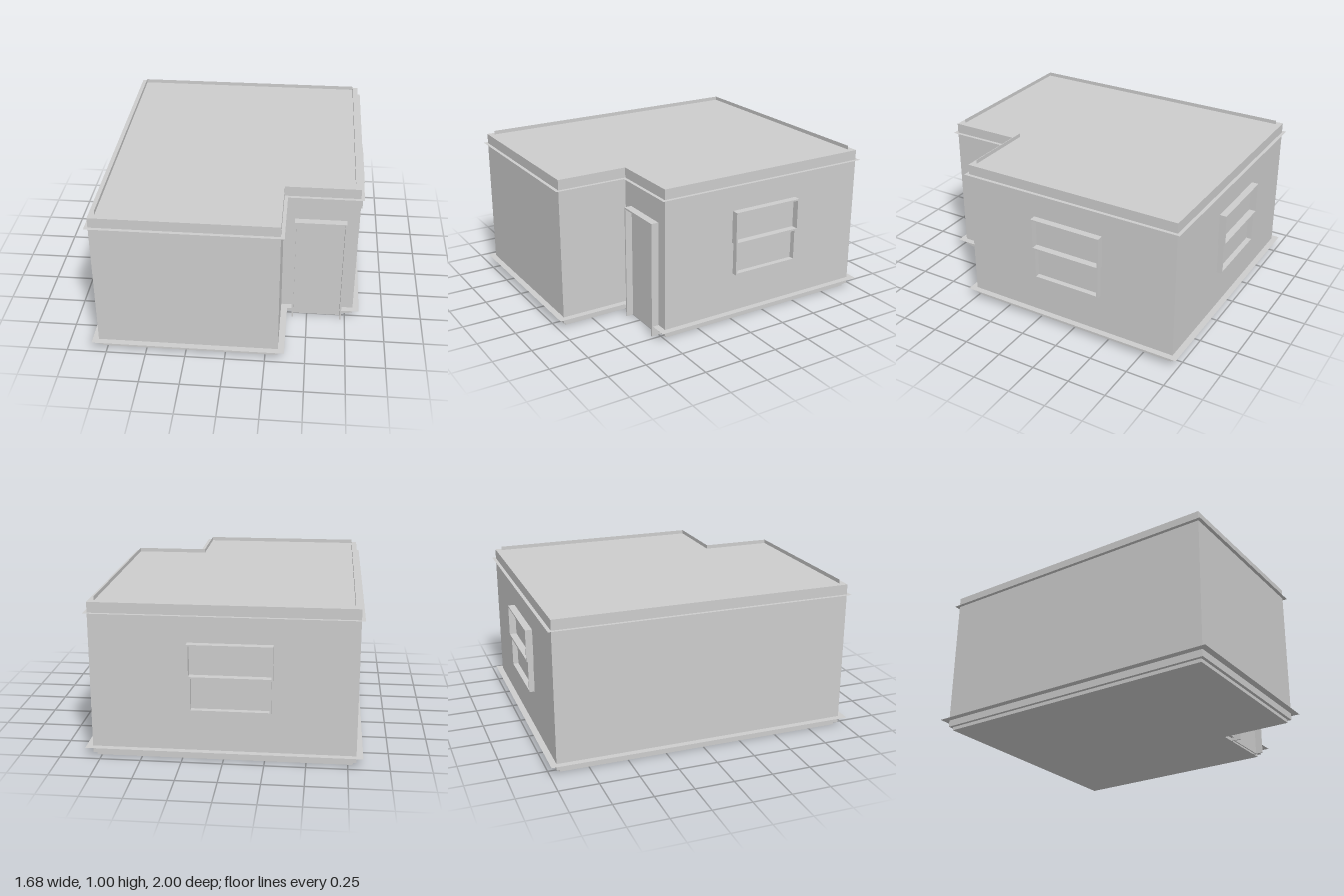
import * as THREE from 'three';

const plaster = new THREE.MeshStandardMaterial({ color: 0xcccccc });
plaster.name = 'pale grey plaster';
const plasterThin = plaster.clone();
plasterThin.name = 'pale grey thin trim';
plasterThin.side = THREE.DoubleSide;

// L-shaped floor plan as [x, z], offset outwards by d
const corners = (d) => [
  [0.8 + d, 0.5 + d], [0.8 + d, -0.955 - d], [-0.8 - d, -0.955 - d],
  [-0.8 - d, 0.955 + d], [0.33 + d, 0.955 + d], [0.33 + d, 0.5 + d],
];

const DOOR = { left: 0.725, right: 0.4, top: 0.745 };

function add(parent, name, geometry, material = plaster) {
  const mesh = new THREE.Mesh(geometry, material);
  mesh.name = name;
  parent.add(mesh);
  return mesh;
}

// Solid slab over the floor plan
function slab(d, y0, y1) {
  const shape = new THREE.Shape(corners(d).map(([x, z]) => new THREE.Vector2(x, -z)));
  const g = new THREE.ExtrudeGeometry(shape, { depth: y1 - y0, bevelEnabled: false });
  return g.rotateX(-Math.PI / 2).translate(0, y0, 0);
}

// Strip of flat quads between two paths of [x, z] at two heights
function band(a, ya, b, yb) {
  const pos = [];
  for (let i = 0; i < a.length - 1; i++) {
    const p = [a[i][0], ya, a[i][1]], q = [a[i + 1][0], ya, a[i + 1][1]];
    const r = [b[i + 1][0], yb, b[i + 1][1]], s = [b[i][0], yb, b[i][1]];
    pos.push(...p, ...q, ...r, ...p, ...r, ...s);
  }
  const g = new THREE.BufferGeometry();
  g.setAttribute('position', new THREE.Float32BufferAttribute(pos, 3));
  g.computeVertexNormals();
  return g;
}

const closed = (path) => [...path, path[0]];
// Path round the house that stops at both sides of the door
const doorGap = (d) => [[DOOR.left, 0.5 + d], ...corners(d), [DOOR.right, 0.5 + d]];

// Thin box between two corners
function bar(parent, name, x0, x1, y0, y1, z0, z1) {
  const g = new THREE.BoxGeometry(x1 - x0, y1 - y0, z1 - z0);
  add(parent, name, g.translate((x0 + x1) / 2, (y0 + y1) / 2, (z0 + z1) / 2));
}

// Two-sash window frame standing out of a wall along local +z
function makeWindow(name, width) {
  const g = new THREE.Group();
  g.name = name;
  const t = 0.01, w = width / 2;
  for (const s of [-1, 1]) {
    const x = s * (w - t / 2);
    bar(g, 'lowerJamb', x - t / 2, x + t / 2, 0.33, 0.54, 0, 0.035);
    const u = s * (w + t / 2);
    bar(g, 'upperJamb', u - t / 2, u + t / 2, 0.535, 0.74, 0, 0.045);
  }
  bar(g, 'sill', -w, w, 0.325, 0.335, 0, 0.035);
  bar(g, 'middleRail', -w, w, 0.535, 0.547, 0, 0.045);
  bar(g, 'topRail', -w - t, w + t, 0.735, 0.745, 0, 0.045);
  return g;
}

export function createModel() {
  const house = new THREE.Group();
  house.name = 'house';

  // Main body and its recessed footing
  add(house, 'walls', slab(0, 0.022, 0.975));
  add(house, 'footing', slab(-0.02, 0, 0.022));

  // Upstand around the roof, facing the roof surface
  const rim = closed(corners(-0.037));
  add(house, 'roofRim', band(rim, 1, rim, 0.975));

  // Ledges round the wall top and wall foot
  add(house, 'cornice', band(closed(corners(0)), 0.91, closed(corners(0.022)), 0.91), plasterThin);
  add(house, 'skirting', band(doorGap(0), 0.066, doorGap(0.04), 0.066), plasterThin);

  // Windows on the left side wall and the back wall
  const sideWindow = makeWindow('sideWindow', 0.46);
  sideWindow.rotation.y = Math.PI / 2;
  sideWindow.position.set(0.8, 0, -0.225);
  const backWindow = makeWindow('backWindow', 0.49);
  backWindow.rotation.y = Math.PI;
  backWindow.position.set(-0.045, 0, -0.955);
  house.add(sideWindow, backWindow);

  // Door frame in the corner recess
  const door = new THREE.Group();
  door.name = 'doorFrame';
  const { left, right, top } = DOOR;
  bar(door, 'rightJamb', right, right + 0.01, 0, top, 0.47, 0.548);
  bar(door, 'leftJamb', left - 0.01, left, 0, top, 0.47, 0.548);
  bar(door, 'lintel', right, left, top - 0.01, top, 0.5, 0.548);
  bar(door, 'doorLeaf', right, left, 0, top, 0.495, 0.503);
  house.add(door);

  return house;
}
